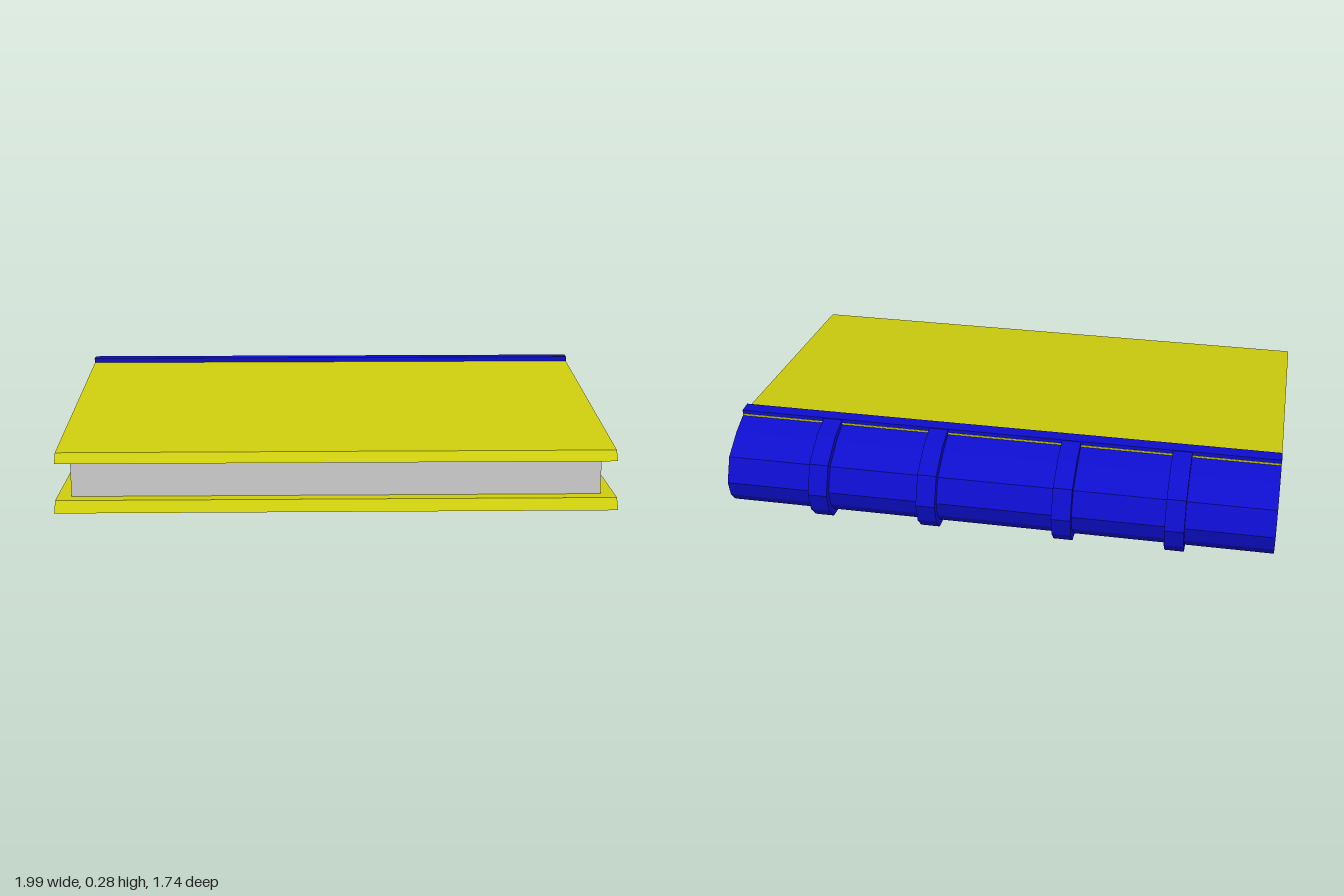
import * as THREE from 'three';

const material = (color) => new THREE.MeshStandardMaterial({ color, flatShading: true });

// Extrude a [depth, height] cross-section along the spine direction (local x), centred on `at`.
function slab(name, points, length, mat, at = 0) {
  const shape = new THREE.Shape(points.map(([v, y]) => new THREE.Vector2(v, y)));
  const geometry = new THREE.ExtrudeGeometry(shape, { depth: length, bevelEnabled: false });
  geometry.translate(0, 0, -length / 2);
  geometry.rotateY(-Math.PI / 2);
  const mesh = new THREE.Mesh(geometry, mat);
  mesh.name = name;
  mesh.position.x = at;
  return mesh;
}

export function createModel() {
  const book = new THREE.Group();
  book.name = 'book';
  const coverMat = material(0xcccc0e);
  const spineMat = material(0x0e0ecc);
  const pageMat = material(0xcccccc);
  const length = 1.664;

  // Cover boards with a bevelled fore edge; the upper one slopes down from the spine
  book.add(slab('bottomCover', [[0.58, 0], [0.555, 0.032], [-0.41, 0.05], [-0.41, 0.016]], length, coverMat));
  book.add(slab('topCover', [[0.55, 0.142], [0.525, 0.17], [-0.41, 0.271], [-0.41, 0.23]], length, coverMat));

  // Page block with a rounded back
  book.add(slab('pages', [
    [0.515, 0.032], [0.515, 0.14], [-0.41, 0.228], [-0.45, 0.215], [-0.475, 0.19],
    [-0.488, 0.13], [-0.475, 0.08], [-0.45, 0.058], [-0.41, 0.05],
  ], 1.58, pageMat));

  // Spine shell wrapping the back, with a flap over each board
  const outer = [[-0.408, 0.266], [-0.475, 0.242], [-0.55, 0.198], [-0.583, 0.125], [-0.57, 0.075], [-0.54, 0.04], [-0.408, 0.02]];
  const inner = [[-0.415, 0.052], [-0.5, 0.06], [-0.535, 0.09], [-0.55, 0.127], [-0.51, 0.195], [-0.415, 0.228]];
  book.add(slab('spine', [
    [-0.366, 0.268], [-0.366, 0.283], [-0.408, 0.283], ...outer,
    [-0.408, 0], [-0.366, 0], [-0.366, 0.015], [-0.411, 0.016],
    ...inner, [-0.411, 0.271],
  ], length, spineMat));

  // Raised bands across the spine
  const raised = [[-0.408, 0.004], [-0.55, 0.021], [-0.588, 0.062], [-0.605, 0.125], [-0.57, 0.213], [-0.485, 0.263], [-0.408, 0.281]];
  for (const at of [-0.54, -0.205, 0.205, 0.54]) {
    book.add(slab('spineBand', [...outer, ...raised], 0.058, spineMat, at));
  }

  // The book lies turned on the ground
  book.rotation.y = -0.415;
  const model = new THREE.Group();
  model.name = 'closedBook';
  model.add(book);
  return model;
}
